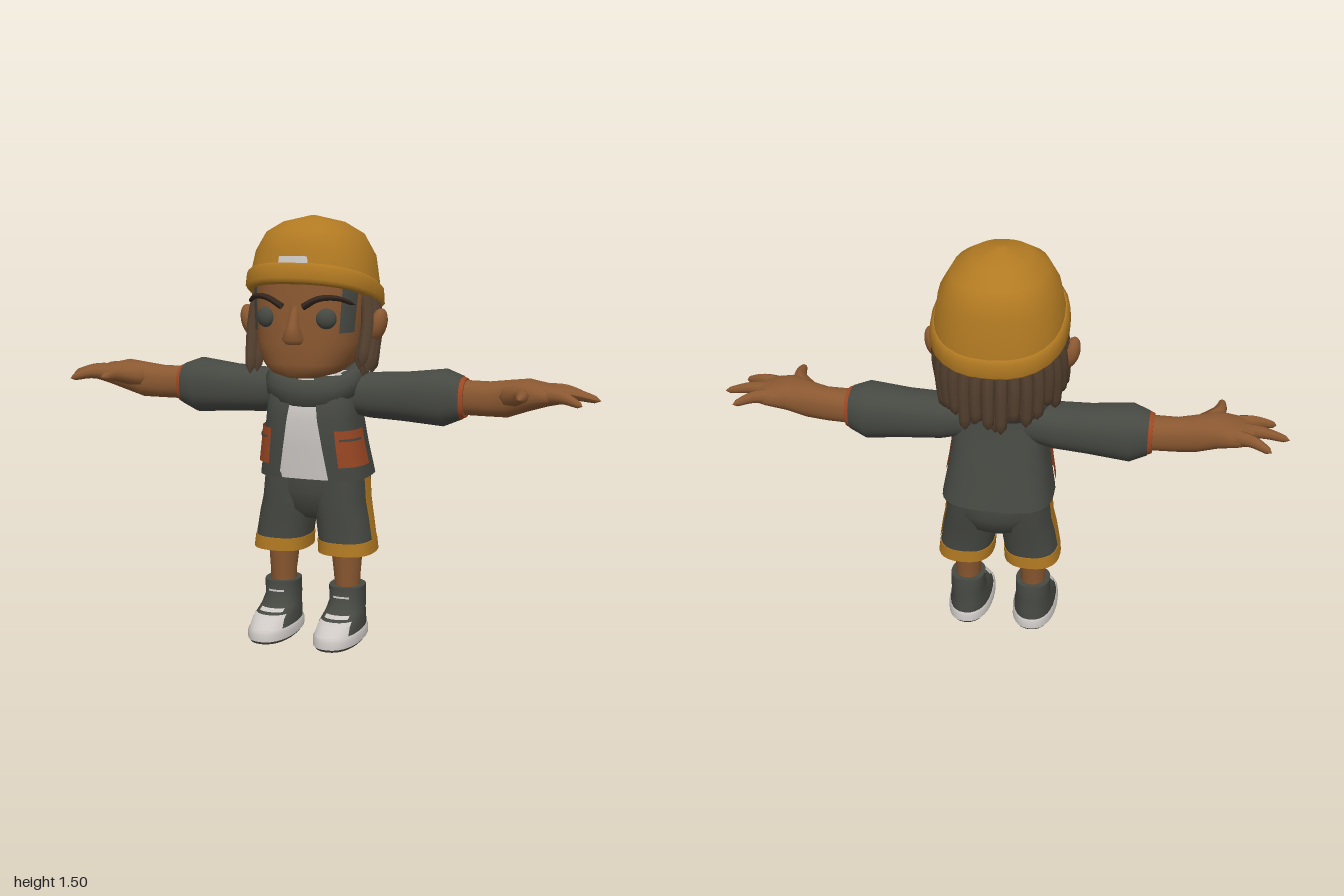
import * as THREE from 'three';

const mat = (name, color) => new THREE.MeshStandardMaterial({ name, color, side: THREE.DoubleSide });

// Superellipse loft. Ring: [y, cx, cz, rx, rz, shear, gap]; shear tilts the ring along z, gap opens the front.
function loft(rings, { p = 2.3, n = 28, a0 = 0, a1 = Math.PI * 2, cap = true } = {}) {
  const open = a1 - a0 < 6.28 || rings[0][6] !== undefined;
  const m = open ? n + 1 : n, pos = [], idx = [];
  const pw = v => Math.sign(v) * Math.abs(v) ** (2 / p);
  const ringPts = ([y, cx, cz, rx, rz, s = 0, gap = 0]) => {
    for (let j = 0; j < m; j++) {
      const a = a0 + gap + (a1 - a0 - 2 * gap) * j / n;
      const z = cz + rz * pw(Math.cos(a));
      pos.push(cx + rx * pw(Math.sin(a)), y + s * z, z);
    }
  };
  rings.forEach(ringPts);
  for (let i = 0; i < rings.length - 1; i++) for (let j = 0; j < n; j++) {
    const k = (j + 1) % m, A = i * m + j, B = i * m + k, C = B + m, D = A + m;
    idx.push(A, B, C, A, C, D);
  }
  if (cap && !open) [rings[0], rings[rings.length - 1]].forEach((r, top) => {
    const b = pos.length / 3;
    ringPts(r);
    pos.push(r[1], r[0] + (r[5] || 0) * r[2], r[2]);
    for (let j = 0; j < n; j++) {
      const A = b + j, B = b + (j + 1) % n;
      idx.push(b + m, top ? A : B, top ? B : A);
    }
  });
  const g = new THREE.BufferGeometry();
  g.setAttribute('position', new THREE.Float32BufferAttribute(pos, 3));
  g.setIndex(idx);
  g.computeVertexNormals();
  return g;
}

// Loft along x, for the arms. Ring: [x, cy, cz, ry, rz]
const armLoft = (rings, o) => loft(rings.map(([x, cy, cz, ry, rz]) => [x, -cy, cz, ry, rz]), o).rotateZ(-Math.PI / 2);

// Thin panel that follows a loft between two heights and two angles
function panel(rings, y0, y1, a0, a1, p, off = 0.006) {
  const at = y => {
    let i = 0;
    while (i < rings.length - 2 && rings[i + 1][0] < y) i++;
    const a = rings[i], b = rings[i + 1], t = (y - a[0]) / (b[0] - a[0]);
    const r = [0, 1, 2, 3, 4, 5].map(k => THREE.MathUtils.lerp(a[k] || 0, b[k] || 0, t));
    r[3] += off; r[4] += off;
    return r;
  };
  const ys = [y0, ...rings.map(r => r[0]).filter(y => y > y0 && y < y1), y1];
  return loft(ys.map(at), { p, n: 12, a0, a1 });
}

// Tapered tube with a rounded tip
function taper(points, r0, r1, seg = 10, sides = 8) {
  const curve = new THREE.CatmullRomCurve3(points.map(q => new THREE.Vector3(...q)));
  const g = new THREE.TubeGeometry(curve, seg, 1, sides), P = g.attributes.position;
  const v = new THREE.Vector3();
  for (let i = 0; i <= seg; i++) {
    const t = i / seg, c = curve.getPointAt(t);
    const end = t > 0.85 ? Math.sqrt(Math.max(0.0004, 1 - ((t - 0.85) / 0.15) ** 2)) : 1;
    for (let j = 0; j <= sides; j++) {
      const k = i * (sides + 1) + j;
      v.fromBufferAttribute(P, k).sub(c).multiplyScalar((r0 + (r1 - r0) * t) * end).add(c);
      P.setXYZ(k, v.x, v.y, v.z);
    }
  }
  g.computeVertexNormals();
  return g;
}

function mirrored(geo) {
  const g = geo.clone().scale(-1, 1, 1), ix = g.index.array;
  for (let i = 0; i < ix.length; i += 3) [ix[i], ix[i + 1]] = [ix[i + 1], ix[i]];
  return g;
}

export function createModel() {
  const model = new THREE.Group();
  const skin = mat('skin', 0x8a5831), mustard = mat('mustard', 0xb27a22), charcoal = mat('charcoal', 0x464842);
  const hair = mat('hair brown', 0x54402f), rust = mat('rust', 0x9c4824), white = mat('off white', 0xcdc8c4);
  const brow = mat('brow brown', 0x33251d);
  const add = (name, geo, m) => {
    const mesh = new THREE.Mesh(geo, m);
    mesh.name = name;
    model.add(mesh);
  };
  const pair = (name, geo, m) => { add(name + 'Left', geo, m); add(name + 'Right', mirrored(geo), m); };

  // Head and face
  const head = [[0.95, 0, 0.1, 0.06, 0.07], [0.965, 0, 0.08, 0.115, 0.125], [1.0, 0, 0.04, 0.16, 0.168],
    [1.07, 0, 0.03, 0.184, 0.185], [1.2, 0, 0.02, 0.194, 0.19], [1.3, 0, 0, 0.2, 0.2]];
  add('head', loft(head, { p: 2.5, n: 36 }), skin);
  add('neck', loft([[0.84, 0, -0.01, 0.08, 0.08], [1.0, 0, 0, 0.08, 0.08]]), skin);
  add('nose', loft([[1.072, 0, 0.205, 0.028, 0.03], [1.09, 0, 0.215, 0.038, 0.05], [1.13, 0, 0.213, 0.022, 0.034],
    [1.2, 0, 0.2, 0.014, 0.014]], { p: 2, n: 14 }), skin);
  const eye = new THREE.SphereGeometry(0.035, 20, 14).scale(1, 1, 0.65).rotateY(0.35).translate(0.11, 1.16, 0.192);
  pair('eye', eye, charcoal);
  pair('eyebrow', taper([[0.038, 1.2, 0.224], [0.09, 1.228, 0.22], [0.145, 1.23, 0.19], [0.195, 1.205, 0.135]], 0.012, 0.007), brow);
  pair('sideburn', panel(head, 1.11, 1.26, 0.81, 1.22, 2.5, 0.004), charcoal);
  pair('ear', new THREE.SphereGeometry(1, 14, 10).scale(0.03, 0.058, 0.038).rotateZ(-0.25).translate(0.24, 1.13, 0.025), skin);

  // Knitted hat: tilted band, faceted crown and a small front tag
  add('hatBand', loft([[1.213, 0, -0.004, 0.226, 0.238, 0.3], [1.225, 0, -0.004, 0.237, 0.247, 0.3],
    [1.27, 0, -0.008, 0.233, 0.244, 0.3], [1.282, 0, -0.01, 0.222, 0.232, 0.3]]), mustard);
  const crown = [[1.27, 0, -0.01, 0.222, 0.23, 0.3], [1.37, 0, -0.012, 0.203, 0.222, 0.1],
    [1.44, 0, -0.005, 0.162, 0.192, 0.05], [1.478, 0, 0.01, 0.1, 0.125, 0.02], [1.5, 0, 0.02, 0.01, 0.01, 0]];
  add('hatCrown', loft(crown), mustard);
  add('hatTag', panel(crown, 1.288, 1.33, -0.19, 0.19, 2.3, 0.005), white);

  // Hair: a back shell and two rows of thick locks hanging from the hat
  add('hairShell', loft([[1.0, 0, -0.05, 0.15, 0.13], [1.08, 0, -0.055, 0.19, 0.15], [1.24, 0, -0.05, 0.203, 0.17]]), hair);
  for (let row = 0; row < 2; row++) for (let i = -9; i <= 9 - row; i++) {
    const t = (i + row / 2) * 0.2, s = Math.sin(t), c = Math.cos(t), k = 1 - row * 0.1;
    const x = 0.2 * s * k, z = -0.01 - 0.21 * c * k, y = 1.24 + 0.3 * z;
    const fwd = 0.07 * s * s * Math.min(1, Math.abs(t) / 1.6);
    const yEnd = 0.945 + 0.025 * s * s + 0.022 * Math.sin(i * 2.3 + row);
    add('hairLock', taper([[x, y, z], [x * 1.09, (y + yEnd) / 2 + 0.03, z * 1.07 + fwd * 0.3], [x * 1.06, yEnd, z * 1.07 + fwd]],
      0.024, 0.02), hair);
  }

  // Shirt and open jacket
  const jacket = [[0.585, 0, -0.03, 0.2, 0.155, 0, 0.32], [0.7, 0, -0.012, 0.18, 0.147, 0, 0.26],
    [0.8, 0, 0, 0.166, 0.14, 0, 0.2], [0.88, 0, 0.005, 0.16, 0.12, 0, 0.15], [0.95, 0, -0.015, 0.12, 0.1, 0, 0.1]];
  add('jacketBody', loft(jacket, { p: 3, n: 36 }), charcoal);
  add('shirt', loft(jacket.map(([y, x, z, rx, rz]) => [y, x, z, rx - 0.012, rz - 0.012]), { p: 3 }), white);
  pair('pocket', panel(jacket, 0.635, 0.765, 0.55, 1.54, 3, 0.009), rust);
  pair('pocketSlit', panel(jacket, 0.728, 0.736, 0.65, 1.4, 3, 0.012), charcoal);
  add('collar', loft([[0.87, 0, -0.01, 0.13, 0.115, -0.35], [0.9, 0, -0.01, 0.175, 0.145, -0.35],
    [0.95, 0, -0.01, 0.18, 0.148, -0.35], [0.98, 0, -0.01, 0.16, 0.13, -0.35], [0.965, 0, -0.01, 0.125, 0.105, -0.35]],
    { cap: false }), charcoal);

  // Arms: sleeve, cuff, forearm with palm, fingers
  pair('sleeve', armLoft([[0.1, 0.885, -0.02, 0.07, 0.085], [0.2, 0.875, -0.035, 0.08, 0.08], [0.32, 0.875, -0.04, 0.086, 0.084],
    [0.465, 0.878, -0.045, 0.1, 0.095], [0.525, 0.88, -0.044, 0.076, 0.072]]), charcoal);
  pair('cuff', armLoft([[0.505, 0.88, -0.043, 0.076, 0.07], [0.515, 0.88, -0.043, 0.079, 0.073],
    [0.54, 0.88, -0.043, 0.068, 0.065]]), rust);
  pair('forearm', armLoft([[0.53, 0.882, -0.043, 0.06, 0.057], [0.62, 0.882, -0.04, 0.06, 0.052], [0.69, 0.888, -0.03, 0.064, 0.058],
    [0.76, 0.905, -0.025, 0.055, 0.077], [0.83, 0.908, -0.03, 0.036, 0.083], [0.875, 0.904, -0.03, 0.022, 0.068]]), skin);
  const fingers = [
    [[0.8, 0.91, -0.075], [0.87, 0.915, -0.1], [0.94, 0.895, -0.133]],
    [[0.81, 0.91, -0.03], [0.9, 0.915, -0.033], [1.0, 0.895, -0.037]],
    [[0.81, 0.91, 0.015], [0.88, 0.912, 0.04], [0.955, 0.89, 0.068]],
    [[0.7, 0.9, 0], [0.755, 0.915, 0.08], [0.765, 0.915, 0.17]]];
  fingers.forEach((f, i) => pair(i < 3 ? 'finger' : 'thumb', taper(f, i < 3 ? 0.032 : 0.04, 0.011), skin));

  // Shorts with hem and side stripe
  add('shortsSeat', loft([[0.43, 0, -0.02, 0.05, 0.07], [0.47, 0, -0.025, 0.13, 0.12], [0.54, 0, -0.035, 0.165, 0.148],
    [0.605, 0, -0.03, 0.172, 0.143]]), charcoal);
  const leg = [[0.312, 0.123, -0.01, 0.1, 0.113], [0.358, 0.119, -0.011, 0.098, 0.112], [0.44, 0.107, -0.015, 0.097, 0.117],
    [0.5, 0.097, -0.022, 0.094, 0.13], [0.605, 0.09, -0.03, 0.092, 0.138]];
  pair('shortsLeg', loft(leg.slice(1), { p: 2.5 }), charcoal);
  pair('shortsHem', loft(leg.slice(0, 2).map(([y, x, z, rx, rz]) => [y, x, z, rx + 0.003, rz + 0.003]), { p: 2.5 }), mustard);
  pair('shortsStripe', panel(leg, 0.35, 0.6, 1.4, 1.74, 2.5, 0.005), mustard);

  // Lower legs
  pair('shin', loft([[0.16, 0.123, 0, 0.045, 0.05], [0.22, 0.123, 0, 0.047, 0.053], [0.34, 0.12, -0.003, 0.058, 0.068]], { p: 2 }), skin);

  // Shoes: dark tread, pale sole, upper, toe cap and laces
  const sx = 0.124;
  pair('shoeTread', loft([[0, sx, 0.072, 0.075, 0.155], [0.01, sx, 0.072, 0.08, 0.16]]), charcoal);
  pair('shoeSole', loft([[0.01, sx, 0.072, 0.083, 0.163], [0.035, sx, 0.072, 0.083, 0.162], [0.046, sx, 0.071, 0.076, 0.155]]), white);
  const upper = [[0.04, sx, 0.07, 0.077, 0.153], [0.075, sx, 0.052, 0.073, 0.135], [0.1, sx, 0.02, 0.067, 0.093],
    [0.13, sx, -0.002, 0.063, 0.077], [0.187, sx, 0, 0.064, 0.07]];
  pair('shoeUpper', loft(upper), charcoal);
  [[0.045, 0.086, 0.85], [0.092, 0.1, 0.6], [0.15, 0.157, 0.4]].forEach(([y0, y1, a], i) =>
    pair(i ? 'shoeLace' : 'toeCap', panel(upper, y0, y1, -a, a, 2.3, 0.004), white));

  return model;
}
